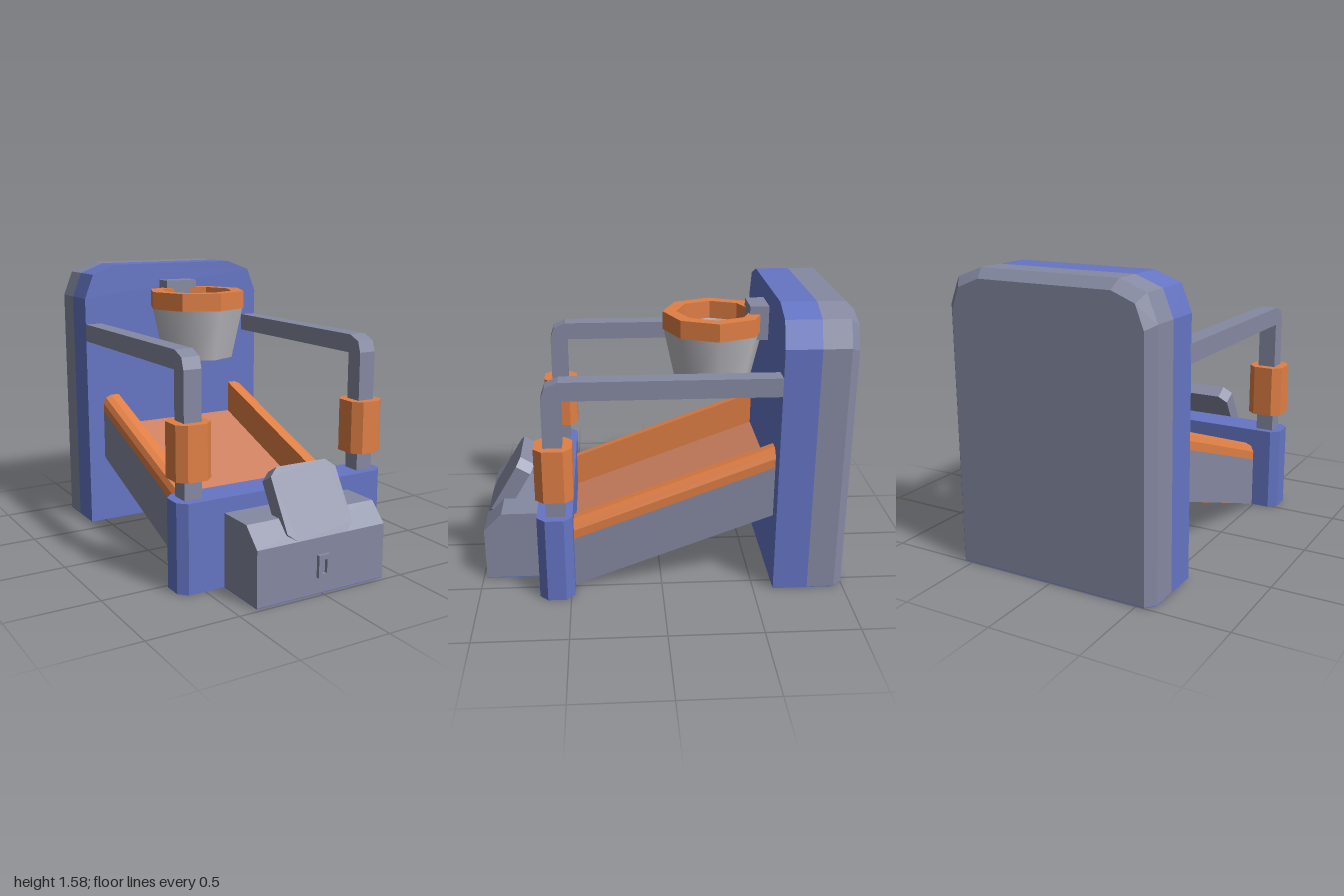
import * as THREE from 'three';
import { ConvexGeometry } from 'three/addons/geometries/ConvexGeometry.js';

const mat = (name, color, side = THREE.FrontSide) => {
  const m = new THREE.MeshStandardMaterial({ color, side });
  m.name = name;
  return m;
};

export function createModel() {
  const model = new THREE.Group();
  model.name = 'arcadeBallGame';
  const blue = mat('blue', 0x6575c4);
  const grey = mat('grey', 0x868aa2);
  const orange = mat('orange', 0xe07f45);
  const clay = mat('clay', 0xcd8160);
  const net = mat('paleGrey', 0xc2c2c8, THREE.DoubleSide);

  const add = (name, geometry, material) => {
    const mesh = new THREE.Mesh(geometry, material);
    mesh.name = name;
    model.add(mesh);
    return mesh;
  };
  const shape = (pts) => new THREE.Shape(pts.map(([x, y]) => new THREE.Vector2(x, y)));
  const extrude = (s, depth) => new THREE.ExtrudeGeometry(s, { depth, bevelEnabled: false });
  // box given by its limits
  const box = (x0, x1, y0, y1, z0, z1) =>
    new THREE.BoxGeometry(x1 - x0, y1 - y0, z1 - z0).translate((x0 + x1) / 2, (y0 + y1) / 2, (z0 + z1) / 2);
  // (z, y) profile extruded across x
  const side = (pts, x0, x1) =>
    extrude(shape(pts.map(([z, y]) => [-z, y])), x1 - x0).rotateY(Math.PI / 2).translate(x0, 0, 0);
  // upright block with its four vertical edges cut off
  const cutBlock = (w, d, c, y0, y1) => {
    const a = w / 2, b = d / 2;
    const pts = [[a, -b + c], [a, b - c], [a - c, b], [-a + c, b], [-a, b - c], [-a, -b + c], [-a + c, -b], [a - c, -b]];
    return extrude(shape(pts), y1 - y0).rotateX(-Math.PI / 2).translate(0, y0, 0);
  };

  // Backboard
  const half = [[0.59, 0], [0.59, 1.38], [0.535, 1.52], [0.39, 1.575]];
  const innerHalf = [[0.545, 0], [0.545, 1.355], [0.5, 1.475], [0.375, 1.525]];
  const mirrored = (h) => [...h, ...h.slice().reverse().map(([x, y]) => [-x, y])];
  add('backboard', extrude(shape(mirrored(half)), 0.19).translate(0, 0, -0.8), blue);
  const shell = [[half, -0.8], [half, -0.95], [innerHalf, -1]].flatMap(([h, z]) =>
    mirrored(h).map(([x, y]) => new THREE.Vector3(x, Math.max(y, 0.004), z)));
  add('backHousing', new ConvexGeometry(shell), grey);
  const foot = shape([[-0.59, 0.8], [0.59, 0.8], [0.59, 0.95], [0.545, 1], [-0.545, 1], [-0.59, 0.95]]);
  add('backUnderside', extrude(foot, 0.004).rotateX(-Math.PI / 2), blue);

  // Front base and ball box
  add('frontBase', cutBlock(1.28, 0.19, 0.045, 0, 0.48).translate(0, 0, 0.575), blue);
  add('ballBox', side([[0.67, 0.004], [0.98, 0.004], [0.98, 0.3], [0.88, 0.4], [0.67, 0.4]], -0.39, 0.39), grey);
  add('ballBoxUnderside', box(-0.39, 0.39, 0, 0.004, 0.66, 0.98), blue);
  const slot = shape([[-0.035, 0.09], [0.035, 0.09], [0.035, 0.21], [-0.035, 0.21]]);
  slot.holes.push(new THREE.Path([[-0.015, 0.11], [-0.015, 0.185], [0.015, 0.185], [0.015, 0.11]]
    .map(([x, y]) => new THREE.Vector2(x, y))));
  add('slotFrame', extrude(slot, 0.025).translate(0, 0, 0.975), grey);

  // Tilted panel over the ball box
  const panel = shape([[-0.15, 0], [0.15, 0], [0.2, 0.045], [0.2, 0.345], [0.15, 0.39], [-0.15, 0.39], [-0.2, 0.345], [-0.2, 0.045]]);
  add('tiltedPanel', extrude(panel, 0.09).translate(0, 0, -0.09)
    .rotateX(-Math.atan2(0.2, 0.335)).translate(0, 0.3, 0.98), grey);

  // Sloping ramp: straight sections sheared upward towards the back
  const slope = (geometry) => {
    const p = geometry.attributes.position;
    for (let i = 0; i < p.count; i++) p.setY(i, p.getY(i) + (0.48 - p.getZ(i)) * 0.367);
    geometry.computeVertexNormals();
    return geometry;
  };
  const z0 = -0.62, z1 = 0.485;
  add('rampFloor', slope(box(-0.39, 0.39, 0.01, 0.2, z0, z1)), clay);
  add('rampUnderside', slope(box(-0.39, 0.39, 0, 0.01, z0, z1)), orange);
  const rail = [[0.39, 0], [0.485, 0], [0.485, 0.29], [0.49, 0.29], [0.49, 0.34], [0.475, 0.375], [0.44, 0.39], [0.39, 0.39]];

  for (const [s, label] of [[1, 'left'], [-1, 'right']]) {
    add(label + 'Rail', slope(extrude(shape(rail.map(([x, y]) => [x * s, y])), z1 - z0).translate(0, 0, z0)), orange);
    add(label + 'RampSide', slope(box(s * 0.4875 - 0.0025, s * 0.4875 + 0.0025, 0.002, 0.29, z0, z1)), grey);
    // Bent arm and its sleeve
    const arm = [[0.52, 0.47], [0.62, 0.47], [0.62, 1.14], [0.6, 1.2], [0.53, 1.23], [-0.62, 1.23], [-0.62, 1.13], [0.52, 1.13]];
    add(label + 'Arm', side(arm, s * 0.54 - 0.05, s * 0.54 + 0.05), grey);
    add(label + 'Sleeve', cutBlock(0.2, 0.2, 0.045, 0.585, 0.875).translate(s * 0.54, 0, 0.57), orange);
  }

  // Hoop, open net and bracket
  const octagon = (r) => Array.from({ length: 8 }, (_, i) =>
    new THREE.Vector2(r * Math.cos(i * Math.PI / 4), r * Math.sin(i * Math.PI / 4)));
  const ring = new THREE.Shape(octagon(0.286));
  ring.holes.push(new THREE.Path(octagon(0.21)));
  add('hoop', extrude(ring, 0.1).rotateX(-Math.PI / 2).translate(0, 1.33, -0.318), orange);
  add('net', new THREE.CylinderGeometry(0.28, 0.214, 0.297, 8, 1, true).translate(0, 1.185, -0.318), net);
  add('hoopBracket', box(-0.1, 0.1, 1.285, 1.475, -0.615, -0.505), grey);

  return model;
}
